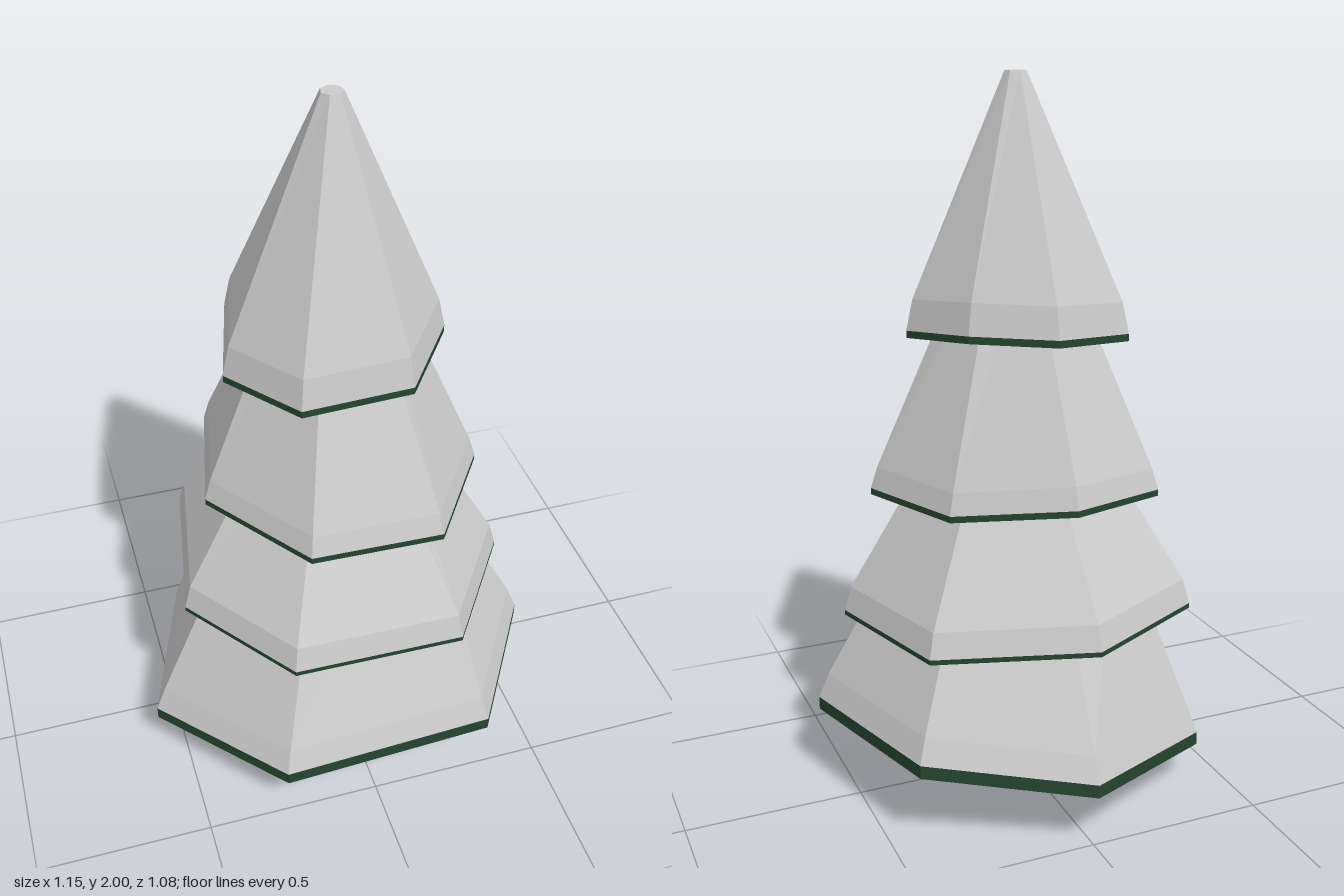
import * as THREE from 'three';

const SIDES = 7;
const CX = 0.005, CZ = 0.022; // trunk axis

const snow = new THREE.MeshStandardMaterial({ color: 0xcccccc, flatShading: true });
const needles = new THREE.MeshStandardMaterial({ color: 0x24452f, flatShading: true });
const bark = new THREE.MeshStandardMaterial({ color: 0x6b4a3a, flatShading: true });

// Regular ring whose first corner points to the back
function regularRing(r, y) {
  return Array.from({ length: SIDES }, (_, i) => {
    const a = (i / SIDES) * Math.PI * 2;
    return new THREE.Vector3(CX + r * Math.sin(a), y, CZ - r * Math.cos(a));
  });
}

// Copy of a ring, scaled towards the axis and raised
function offsetRing(ring, scale, rise) {
  return ring.map(p => new THREE.Vector3(
    CX + (p.x - CX) * scale, p.y + rise, CZ + (p.z - CZ) * scale));
}

// Faceted skin through a list of rings, optionally closed at the last one
function loft(rings, capped) {
  const points = [];
  for (let k = 0; k < rings.length - 1; k++) {
    const a = rings[k], b = rings[k + 1];
    for (let i = 0; i < SIDES; i++) {
      const j = (i + 1) % SIDES;
      points.push(a[i], b[i], a[j], b[i], b[j], a[j]);
    }
  }
  if (capped) {
    const top = rings[rings.length - 1];
    for (let i = 1; i < SIDES - 1; i++) points.push(top[0], top[i + 1], top[i]);
  }
  const geometry = new THREE.BufferGeometry().setFromPoints(points);
  geometry.computeVertexNormals();
  return geometry;
}

function addMesh(parent, name, geometry, material) {
  const mesh = new THREE.Mesh(geometry, material);
  mesh.name = name;
  parent.add(mesh);
}

// Each tier: uneven rim corners [x, y, z] from the back round by the left side,
// green edge thickness, snow lip, top ring and depth of the hollow underneath
const tiers = [
  {
    name: 'bottomTier', edge: 0.038, lip: [0.95, 0.07], top: [0.28, 0.8], hollow: 0.35,
    rim: [[0.005, 0.165, -0.54], [0.43, 0.21, -0.335], [0.572, 0.212, 0.145], [0.325, 0.2, 0.54],
      [-0.27, 0.14, 0.52], [-0.577, 0.13, 0.165], [-0.415, 0.12, -0.32]],
  },
  {
    name: 'lowerMiddleTier', edge: 0.014, lip: [0.96, 0.07], top: [0.14, 1.15], hollow: 0.28,
    rim: [[-0.035, 0.53, -0.46], [0.38, 0.507, -0.285], [0.492, 0.505, 0.12], [0.257, 0.51, 0.465],
      [-0.23, 0.53, 0.475], [-0.465, 0.533, 0.15], [-0.385, 0.545, -0.3]],
  },
  {
    name: 'upperMiddleTier', edge: 0.018, lip: [0.955, 0.06], top: [0.1, 1.6], hollow: 0.28,
    rim: [[0.003, 0.9, -0.39], [0.29, 0.865, -0.21], [0.405, 0.857, 0.115], [0.205, 0.855, 0.405],
      [-0.16, 0.855, 0.395], [-0.375, 0.857, 0.085], [-0.3, 0.875, -0.255]],
  },
  {
    name: 'topTier', edge: 0.02, lip: [0.94, 0.085], top: [0.03, 2], hollow: 0.25,
    rim: [[0.014, 1.325, -0.287], [0.21, 1.325, -0.15], [0.3, 1.3, 0.086], [0.144, 1.275, 0.296],
      [-0.153, 1.258, 0.29], [-0.304, 1.25, 0.072], [-0.236, 1.3, -0.185]],
  },
];

function createTier({ name, rim, edge, lip, top, hollow }) {
  const group = new THREE.Group();
  group.name = name;
  const lower = rim.map(p => new THREE.Vector3(...p));
  const upper = offsetRing(lower, 1, edge);
  const inner = offsetRing(lower, 0.12, hollow);

  // Snow: steep lip at the rim, then a long taper
  addMesh(group, 'snow', loft([upper, offsetRing(upper, ...lip), regularRing(...top)], true), snow);
  // Branches: hollow underside and thin green edge
  addMesh(group, 'branches', loft([inner, lower, upper], false), needles);
  return group;
}

export function createModel() {
  const tree = new THREE.Group();
  tree.name = 'snowyFirTree';

  // Trunk
  const trunk = new THREE.CylinderGeometry(0.07, 0.07, 0.55, SIDES);
  trunk.rotateY(Math.PI).translate(CX, 0.275, CZ);
  addMesh(tree, 'trunk', trunk, bark);

  for (const tier of tiers) tree.add(createTier(tier));
  return tree;
}
